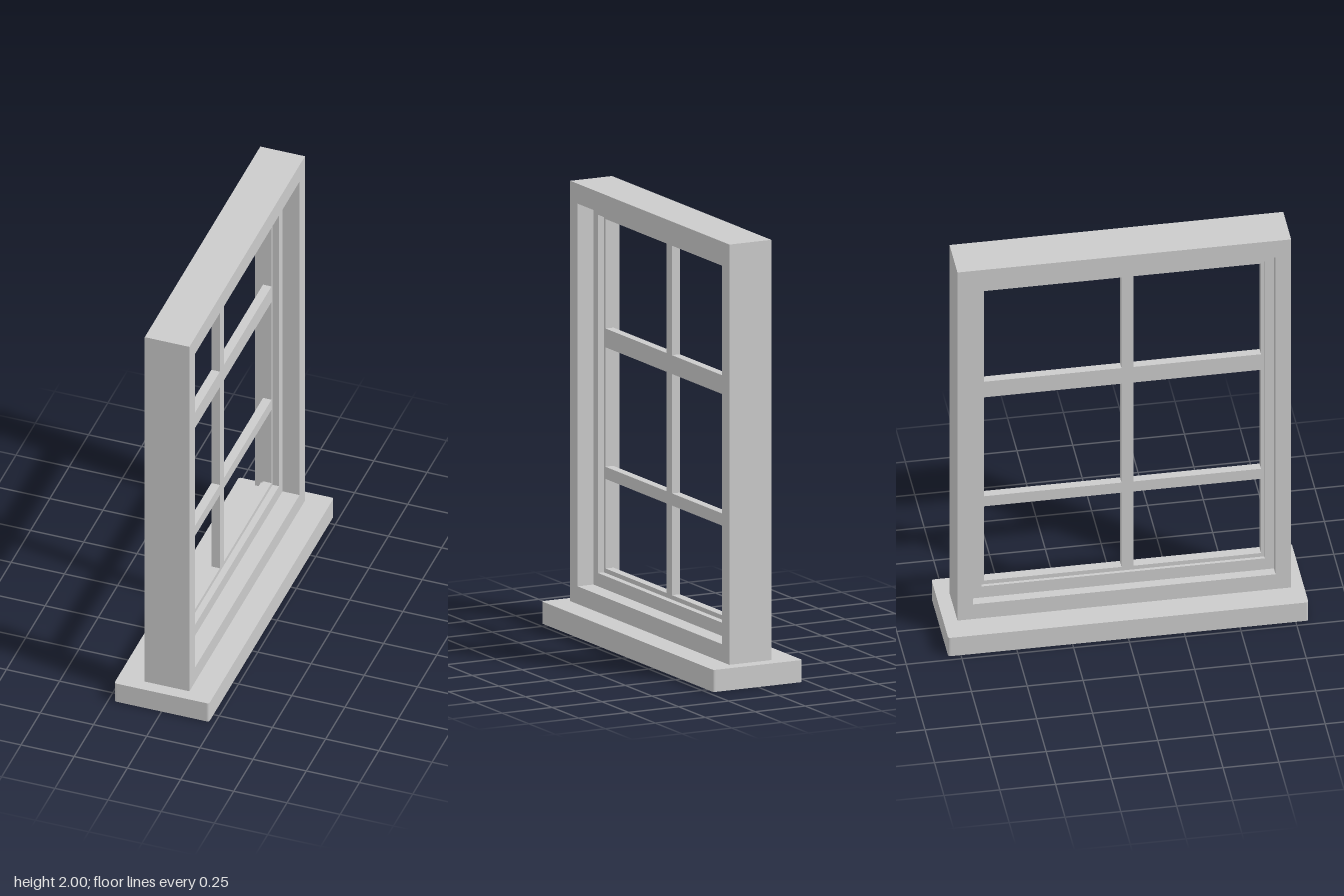
import * as THREE from 'three';

const material = new THREE.MeshStandardMaterial({ color: 0xcccccc });

// Rectangle path in (z, y)
function rect(path, [z0, z1, y0, y1]) {
  path.moveTo(z0, y0);
  path.lineTo(z1, y0);
  path.lineTo(z1, y1);
  path.lineTo(z0, y1);
  path.closePath();
  return path;
}

// Rectangular ring in the zy plane, running from x0 to x1
function ring(name, outer, inner, x0, x1) {
  // Shape x is -z, so that a quarter turn about y puts the depth along +x
  const flip = ([z0, z1, y0, y1]) => [-z1, -z0, y0, y1];
  const shape = rect(new THREE.Shape(), flip(outer));
  shape.holes.push(rect(new THREE.Path(), flip(inner)));
  const geometry = new THREE.ExtrudeGeometry(shape, { depth: x1 - x0, bevelEnabled: false });
  geometry.rotateY(Math.PI / 2).translate(x0, 0, 0);
  const mesh = new THREE.Mesh(geometry, material);
  mesh.name = name;
  return mesh;
}

function bar(name, x0, x1, y0, y1, z0, z1) {
  const mesh = new THREE.Mesh(new THREE.BoxGeometry(x1 - x0, y1 - y0, z1 - z0), material);
  mesh.position.set((x0 + x1) / 2, (y0 + y1) / 2, (z0 + z1) / 2);
  mesh.name = name;
  return mesh;
}

// Sill slab with slightly rounded upright corners
function sill() {
  const w = 0.223, l = 0.807, r = 0.012;
  const s = new THREE.Shape();
  s.moveTo(-w + r, -l);
  s.lineTo(w - r, -l);
  s.quadraticCurveTo(w, -l, w, -l + r);
  s.lineTo(w, l - r);
  s.quadraticCurveTo(w, l, w - r, l);
  s.lineTo(-w + r, l);
  s.quadraticCurveTo(-w, l, -w, l - r);
  s.lineTo(-w, -l + r);
  s.quadraticCurveTo(-w, -l, -w + r, -l);
  const geometry = new THREE.ExtrudeGeometry(s, { depth: 0.1, bevelEnabled: false, curveSegments: 4 });
  geometry.rotateX(-Math.PI / 2);
  const mesh = new THREE.Mesh(geometry, material);
  mesh.name = 'sill';
  return mesh;
}

export function createModel() {
  const group = new THREE.Group();
  group.name = 'window';

  // Nested openings: [z0, z1, y0, y1]
  const outside = [-0.745, 0.75, 0.1, 2];
  const opening = [-0.675, 0.68, 0.18, 1.91];
  const stopOpening = [-0.63, 0.64, 0.24, 1.86];
  const paneOpening = [-0.615, 0.625, 0.26, 1.84];

  group.add(
    sill(),
    ring('outerFrame', outside, opening, -0.1, 0.11),
    ring('frameStop', opening, stopOpening, -0.055, 0.03),
    ring('sash', stopOpening, paneOpening, -0.04, 0)
  );

  // Glazing bars: one upright, a wide and a narrow crossbar
  const [z0, z1, y0, y1] = paneOpening;
  group.add(bar('uprightBar', -0.04, 0, y0, y1, 0, 0.053));
  const crossbars = { meetingRail: [1.26, 1.345], lowerCrossbar: [0.665, 0.72] };
  for (const [name, [a, b]] of Object.entries(crossbars)) {
    group.add(bar(name, -0.04, 0, a, b, z0, z1));
  }
  return group;
}
